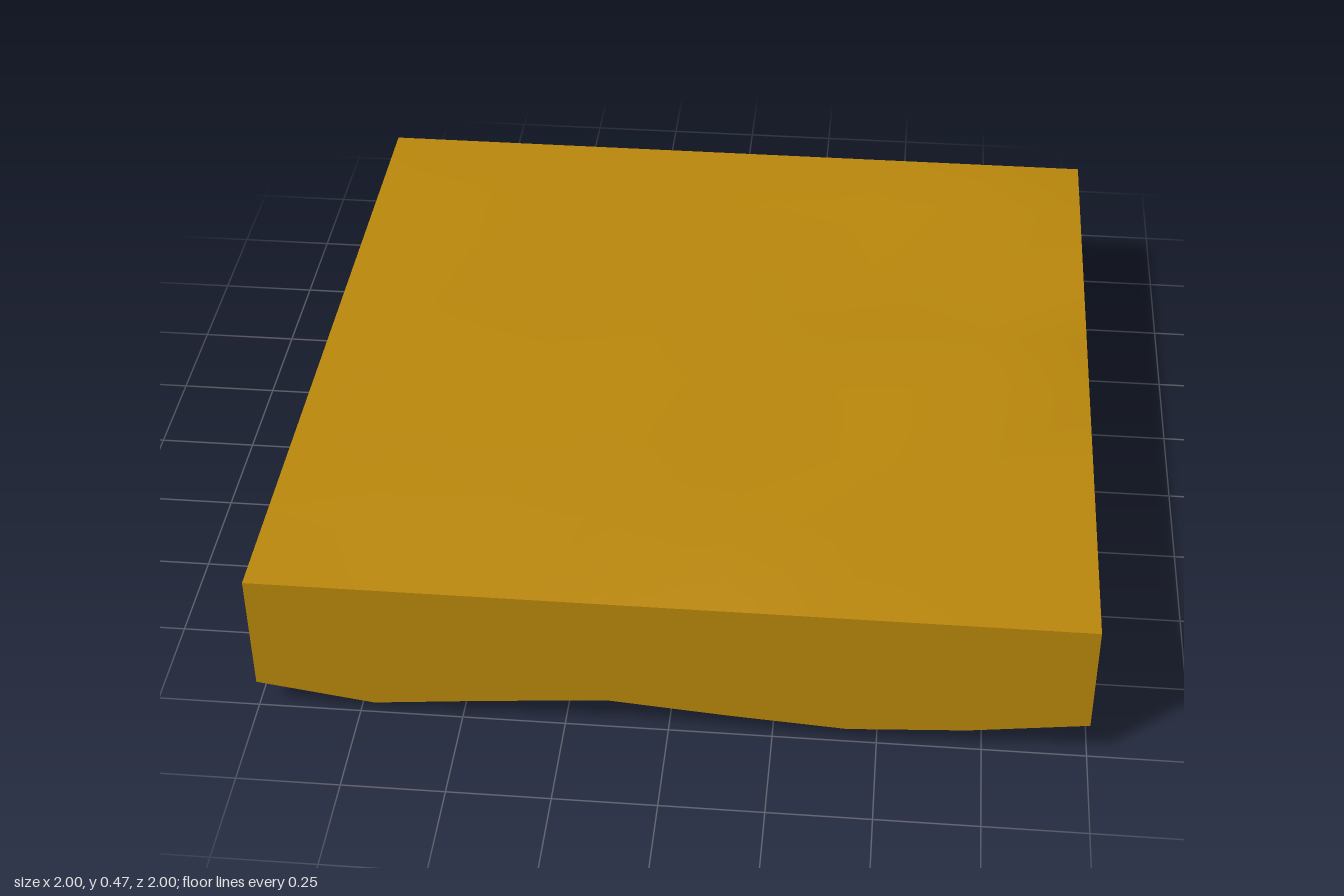
import * as THREE from 'three';

const N = 7;      // cells per side
const RIM = 0.395; // height of the flat border

// Underside: sum of one wave along x and one along z
const waveX = [0.045, 0, 0.03, 0.055, 0.03, 0.01, 0.03, 0.07];
const waveZ = [0.035, 0.003, 0.033, 0.083, 0.033, 0.033, 0.063, 0.033];

// Gentle bumps on the upper surface, rows from back to front, inner points only
const bumps = [
  [0.01, 0.01, 0, 0.01, 0.01, 0.05],
  [0, 0, 0, 0, 0, 0],
  [0.02, 0.01, 0.038, 0.038, 0.03, 0],
  [0.01, 0.01, 0.02, 0.038, 0, 0.08],
  [0.02, 0.038, 0.038, 0.02, 0.01, 0],
  [0.01, 0.02, 0.02, 0.038, 0.038, 0],
];

const index = (v) => Math.round((v + 1) * N / 2);
const topHeight = (x, z) => RIM + (bumps[index(z) - 1]?.[index(x) - 1] ?? 0);
const bottomHeight = (x, z) => waveX[index(x)] + waveZ[index(z)];

// Set every vertex height by a rule
function shape(geometry, rule) {
  const p = geometry.attributes.position;
  for (let i = 0; i < p.count; i++) p.setY(i, rule(p.getX(i), p.getZ(i), p.getY(i)));
  geometry.computeVertexNormals();
  return geometry;
}

export function createModel() {
  const group = new THREE.Group();
  group.name = 'groundTile';
  const material = new THREE.MeshStandardMaterial({ color: 0xb8860b });
  const add = (name, geometry) => {
    const mesh = new THREE.Mesh(geometry, material);
    mesh.name = name;
    group.add(mesh);
  };

  // Upper and lower surfaces
  add('topSurface', shape(new THREE.PlaneGeometry(2, 2, N, N).rotateX(-Math.PI / 2), topHeight));
  add('underside', shape(new THREE.PlaneGeometry(2, 2, N, N).rotateX(Math.PI / 2), bottomHeight));

  // Four walls from the flat rim down to the wavy underside
  ['frontWall', 'leftWall', 'backWall', 'rightWall'].forEach((name, i) => {
    const wall = new THREE.PlaneGeometry(2, 1, N, 1).translate(0, 0, 1).rotateY(i * Math.PI / 2);
    add(name, shape(wall, (x, z, y) => (y > 0 ? RIM : bottomHeight(x, z))));
  });
  return group;
}
